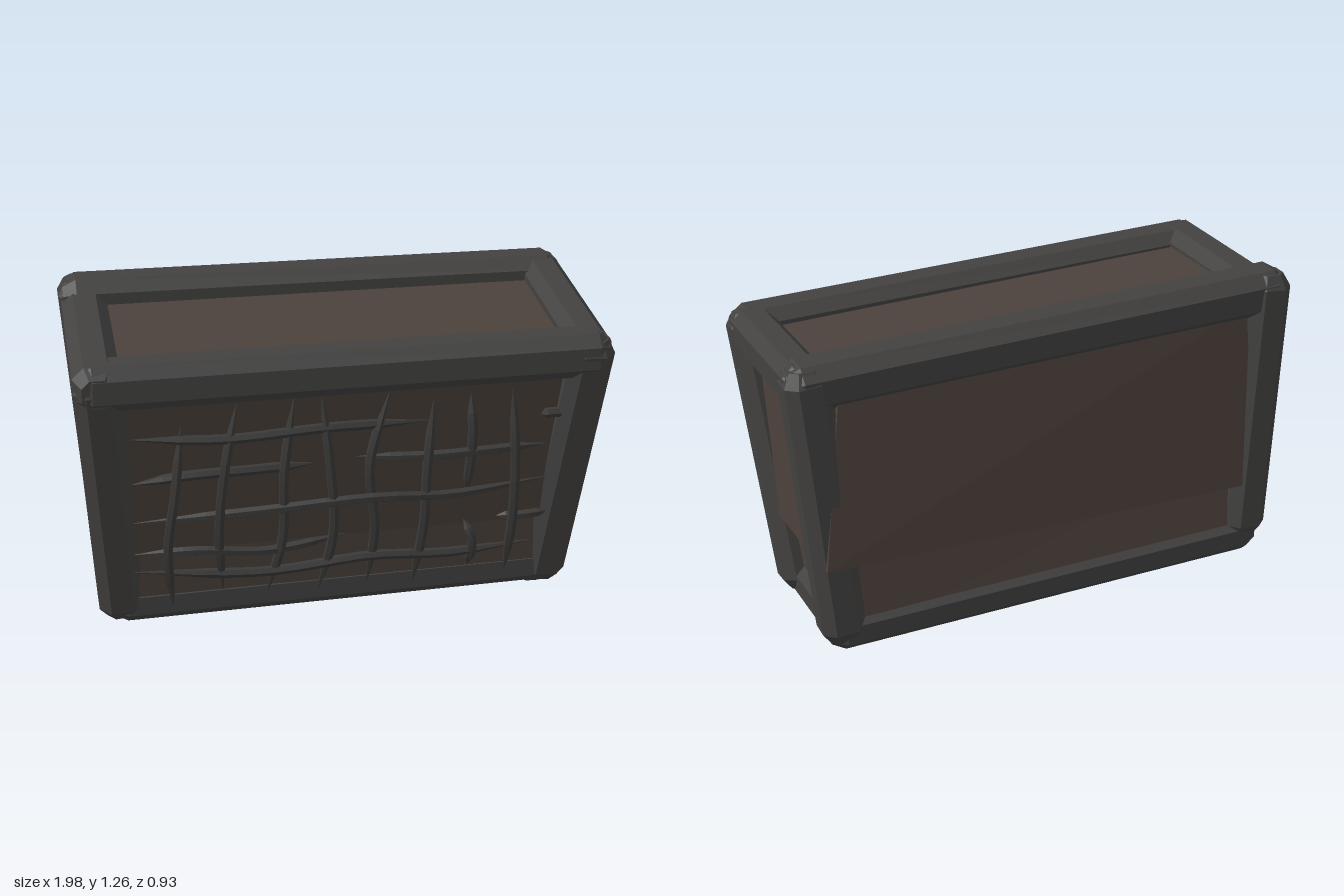
import * as THREE from 'three';

const V = (x, y, z) => new THREE.Vector3(x, y, z);
const mat = (color) => new THREE.MeshStandardMaterial({ color, flatShading: true, side: THREE.DoubleSide });

// Closed solid through a list of equal-sized rings
function loft(rings) {
  const pos = [];
  const tri = (...pts) => pts.forEach((p) => pos.push(p.x, p.y, p.z));
  const n = rings[0].length;
  for (let r = 0; r < rings.length - 1; r++) {
    const a = rings[r], b = rings[r + 1];
    for (let i = 0; i < n; i++) {
      const j = (i + 1) % n;
      tri(a[i], a[j], b[j]);
      tri(a[i], b[j], b[i]);
    }
  }
  const first = rings[0], last = rings[rings.length - 1];
  for (let i = 1; i < n - 1; i++) {
    tri(first[0], first[i + 1], first[i]);
    tri(last[0], last[i], last[i + 1]);
  }
  const g = new THREE.BufferGeometry();
  g.setAttribute('position', new THREE.Float32BufferAttribute(pos, 3));
  g.computeVertexNormals();
  return g;
}

// Chamfered timber from a to b, with tapered ends that run past both points
function beamGeometry(a, b, side, half, over) {
  const dir = b.clone().sub(a).normalize();
  const u = side.clone().addScaledVector(dir, -side.dot(dir)).normalize();
  const v = dir.clone().cross(u);
  const c = 0.5;
  const oct = [[1, -c], [1, c], [c, 1], [-c, 1], [-1, c], [-1, -c], [-c, -1], [c, -1]];
  const ring = (p, along, s) => oct.map(([x, y]) =>
    p.clone().addScaledVector(dir, along).addScaledVector(u, x * half * s).addScaledVector(v, y * half * s));
  return loft([ring(a, -over, 0.65), ring(a, 0.05 - over, 1), ring(b, over - 0.05, 1), ring(b, over, 0.65)]);
}

// Board with four corners counter-clockwise from outside, and a thickness vector pointing outward
function boardGeometry(corners, out) {
  return loft([corners.map((p) => p.clone().sub(out)), corners]);
}

// Point on the leaning front panel, set d in front of it
const onFront = (x, y, d) => V(x, y, 0.225 - 0.025 * x + 0.148 * (y - 0.1) + d);

// Twig through x, y points: bulges off the front panel and tapers to both ends
function twigGeometry(points, bulge, radius) {
  const n = points.length - 1;
  const curve = new THREE.CatmullRomCurve3(points.map(([x, y], i) =>
    onFront(x, y, 0.012 + bulge * Math.sin((Math.PI * i) / n))));
  const segs = 18, sides = 6;
  const g = new THREE.TubeGeometry(curve, segs, radius, sides, false);
  const p = g.attributes.position, v = V(0, 0, 0);
  for (let i = 0; i <= segs; i++) {
    const t = i / segs, c = curve.getPointAt(t);
    const s = Math.min(1, 0.1 + 5 * Math.min(t, 1 - t));
    for (let j = 0; j <= sides; j++) {
      const k = i * (sides + 1) + j;
      v.fromBufferAttribute(p, k).sub(c).multiplyScalar(s).add(c);
      p.setXYZ(k, v.x, v.y, v.z);
    }
  }
  g.computeVertexNormals();
  return g;
}

export function createModel() {
  const model = new THREE.Group();
  const timber = mat(0x434241), board = mat(0x4c423c), twig = mat(0x3b3a39);
  const add = (name, geometry, material) => {
    const m = new THREE.Mesh(geometry, material);
    m.name = name;
    model.add(m);
  };

  // Corners of the crooked frame; L is +x, R is -x
  const C = {
    ftL: V(0.905, 1.065, 0.335), ftR: V(-0.9, 1.09, 0.37),
    btL: V(0.905, 1.14, -0.335), btR: V(-0.9, 1.175, -0.315),
    fbL: V(0.83, 0.11, 0.135), fbR: V(-0.84, 0.125, 0.18),
    bbL: V(0.83, 0.15, -0.38), bbR: V(-0.83, 0.16, -0.35),
  };
  const X = V(1, 0, 0), Y = V(0, 1, 0);
  const beams = [
    ['frontTopBeam', C.ftR, C.ftL, Y, 0.085, 0.07],
    ['backTopBeam', V(-0.9, 1.168, -0.3), V(0.905, 1.135, -0.325), Y, 0.09, 0.07],
    ['leftTopBeam', C.ftL, C.btL, X, 0.08, 0.06],
    ['rightTopBeam', C.ftR, V(-0.89, 1.135, -0.3), X, 0.085, 0.08],
    ['frontLeftPost', C.fbL, C.ftL, X, 0.085, 0.07],
    ['frontRightPost', C.fbR, C.ftR, X, 0.085, 0.05],
    ['backLeftPost', V(0.835, 0.19, -0.387), C.btL, X, 0.083, 0.07],
    ['backRightPost', V(-0.835, 0.23, -0.355), C.btR, X, 0.083, 0.07],
    ['frontBottomBeam', C.fbR, C.fbL, Y, 0.075, 0.03],
    ['backBottomBeam', C.bbR, C.bbL, Y, 0.073, 0.05],
    // Only the left side has a bottom rail
    ['leftBottomBeam', V(0.795, 0.073, 0.11), V(0.81, 0.165, -0.36), X, 0.075, 0.05],
  ];
  for (const [name, a, b, side, half, over] of beams) add(name, beamGeometry(a, b, side, half, over), timber);

  // Top and bottom boards
  add('topPanel', boardGeometry([
    V(-0.9, 1.115, 0.37), V(0.9, 1.082, 0.335), V(0.9, 1.152, -0.335), V(-0.9, 1.178, -0.315)],
  V(0, 0.03, 0)), board);
  add('bottomPanel', boardGeometry([
    V(-0.83, 0.153, -0.355), V(0.83, 0.158, -0.385), V(0.83, 0.1, 0.135), V(-0.84, 0.115, 0.18)],
  V(0, -0.03, 0)), board);

  // Front boards: the lower one tucks behind the upper one and comes forward over the bottom beam
  add('frontUpperPanel', boardGeometry([
    onFront(-0.85, 0.37, 0), onFront(0.85, 0.35, 0), onFront(0.88, 1.06, 0), onFront(-0.88, 1.08, 0)],
  V(0, 0, 0.03)), board);
  add('frontLowerPanel', boardGeometry([
    onFront(-0.84, 0.11, 0), onFront(0.84, 0.1, 0), onFront(0.86, 0.45, -0.025), onFront(-0.86, 0.45, -0.025)],
  V(0, 0, 0.03)), board);

  // Back boards: the upper one hangs askew over the lower one and pokes past the left post
  add('backUpperPanel', boardGeometry([
    V(0.9, 0.46, -0.475), V(-0.85, 0.4, -0.42), V(-0.8, 1.14, -0.36), V(0.8, 1.12, -0.385)],
  V(0, 0, -0.05)), board);
  add('backLowerPanel', boardGeometry([
    V(0.83, 0.12, -0.445), V(-0.83, 0.12, -0.415), V(-0.85, 0.55, -0.345), V(0.85, 0.55, -0.385)],
  V(0, 0, -0.03)), board);

  // Side boards, an upper one lapping a lower one on each side
  for (const [s, name, x, y, z] of [[1, 'left', 0.905, 0.365, 0.13], [-1, 'right', 0.915, 0.385, 0.2]]) {
    const side = (pts, t) => {
      const corners = pts.map(([px, py, pz]) => V(s * px, py, pz));
      return boardGeometry(s > 0 ? corners : corners.reverse(), V(s * t, 0, 0));
    };
    add(name + 'UpperPanel', side([
      [x, y, z], [x, y + 0.07, -0.32], [0.91, 1.08, -0.27], [0.91, 1.04, 0.28]], 0.05), board);
    add(name + 'LowerPanel', side([
      [0.835, 0.11, 0.13], [0.835, 0.16, -0.37], [0.865, 0.55, -0.35], [0.865, 0.5, 0.22]], 0.03), board);
  }

  // Woven twigs across the front: x, y points and bulge
  const twigs = [
    [[[-0.61, 0.91], [-0.64, 0.65], [-0.67, 0.4], [-0.65, 0.12]], 0.05],
    [[[-0.41, 0.98], [-0.46, 0.72], [-0.48, 0.45], [-0.46, 0.17]], 0.05],
    [[[-0.2, 0.99], [-0.24, 0.7], [-0.24, 0.42], [-0.29, 0.14]], 0.05],
    [[[-0.1, 0.99], [-0.07, 0.7], [-0.05, 0.42], [-0.09, 0.13]], 0.06],
    [[[0.15, 0.97], [0.08, 0.7], [0.11, 0.42], [0.1, 0.14]], 0.05],
    [[[0.32, 0.93], [0.3, 0.65], [0.3, 0.4], [0.28, 0.11]], 0.05],
    [[[0.46, 0.94], [0.47, 0.77], [0.47, 0.5]], 0.03],
    [[[0.47, 0.38], [0.5, 0.3], [0.5, 0.17]], 0.03],
    [[[0.62, 0.94], [0.64, 0.65], [0.65, 0.4], [0.65, 0.12]], 0.05],
    [[[-0.79, 0.87], [-0.45, 0.85], [-0.1, 0.86], [0.3, 0.84]], 0.03],
    [[[-0.79, 0.68], [-0.6, 0.71], [-0.35, 0.71], [-0.12, 0.7]], 0.03],
    [[[0.04, 0.71], [0.3, 0.7], [0.55, 0.7], [0.77, 0.69]], 0.03],
    [[[-0.79, 0.51], [-0.35, 0.54], [0.1, 0.56], [0.4, 0.53], [0.79, 0.54]], 0.07],
    [[[-0.79, 0.37], [-0.55, 0.38], [-0.3, 0.35], [0.01, 0.37]], 0.04],
    [[[0.6, 0.38], [0.7, 0.38], [0.8, 0.38]], 0.01],
    [[[-0.79, 0.29], [-0.3, 0.25], [0.1, 0.28], [0.4, 0.25], [0.75, 0.25]], 0.04],
    [[[0.74, 0.82], [0.77, 0.825], [0.83, 0.82]], 0],
  ];
  for (const [points, bulge] of twigs) add('twig', twigGeometry(points, bulge, 0.019), twig);

  return model;
}
